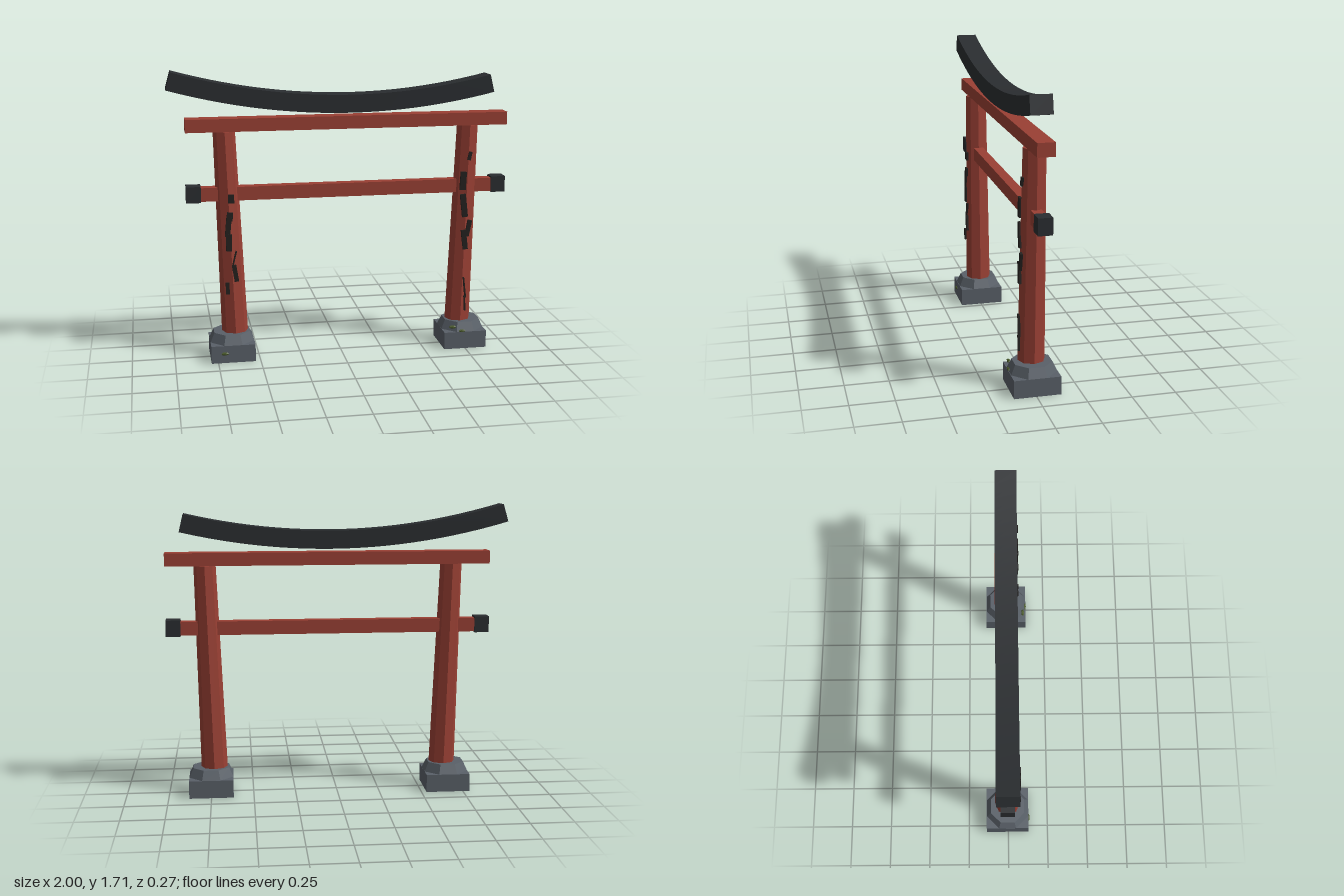
import * as THREE from 'three';
import { toCreasedNormals } from 'three/addons/utils/BufferGeometryUtils.js';

const paint = (color, flatShading = false) => new THREE.MeshStandardMaterial({ color, flatShading });
const red = paint(0x9a4034, true);
const black = paint(0x2a2d30);
const stone = paint(0x596068, true);
const char = paint(0x24211f);
const moss = paint(0x4a5a2a, true);
const Z = -0.005; // depth centre of the frame

function add(parent, name, geometry, material, x = 0, y = 0, z = 0) {
  const mesh = new THREE.Mesh(geometry, material);
  mesh.name = name;
  mesh.position.set(x, y, z);
  parent.add(mesh);
  return mesh;
}

// Box given by its x and y extents
function bar(parent, name, x0, x1, y0, y1, depth, material) {
  return add(parent, name, new THREE.BoxGeometry(x1 - x0, y1 - y0, depth), material,
    (x0 + x1) / 2, (y0 + y1) / 2, Z);
}

// Upward-curving top beam: a band offset from a curve, extruded in depth
function roofGeometry(depth, height) {
  const curve = new THREE.QuadraticBezierCurve(
    new THREE.Vector2(-0.987, 1.656), new THREE.Vector2(-0.046, 1.385), new THREE.Vector2(0.895, 1.607));
  const upper = [], lower = [];
  for (let i = 0; i <= 24; i++) {
    const p = curve.getPoint(i / 24), t = curve.getTangent(i / 24);
    const n = new THREE.Vector2(-t.y, t.x).multiplyScalar(height / 2);
    upper.push(p.clone().add(n));
    lower.push(p.clone().sub(n));
  }
  const shape = new THREE.Shape([...lower, ...upper.reverse()]);
  const g = new THREE.ExtrudeGeometry(shape, { depth, bevelEnabled: false });
  g.translate(0, 0, Z - depth / 2);
  return toCreasedNormals(g, 0.5);
}

// Tapered eight-sided post, sheared so that its top leans outward
function postGeometry(lean) {
  const h = 1.34;
  const g = new THREE.CylinderGeometry(0.064, 0.079, h, 8);
  g.translate(0, h / 2, 0);
  const p = g.attributes.position;
  for (let i = 0; i < p.count; i++) p.setX(i, p.getX(i) + lean * p.getY(i) / h);
  g.computeVertexNormals();
  return g;
}

// Square block with an eight-sided chamfered collar
function footing(parent, name, x) {
  const group = new THREE.Group();
  group.name = name;
  group.position.set(x, 0, Z);
  parent.add(group);
  add(group, 'block', new THREE.BoxGeometry(0.26, 0.105, 0.264), stone, 0, 0.0525);
  const flat = Math.cos(Math.PI / 8);
  const collar = new THREE.CylinderGeometry(0.105 / flat, 0.13 / flat, 0.056, 8);
  add(group, 'collar', collar.rotateY(Math.PI / 8), stone, 0, 0.132);
}

export function createModel() {
  const model = new THREE.Group();
  model.name = 'gate';

  // Beams
  add(model, 'roofBeam', roofGeometry(0.122, 0.104), black);
  bar(model, 'lintel', -0.9, 0.995, 1.36, 1.435, 0.096, red);
  bar(model, 'tieBeam', -0.86, 0.95, 0.955, 1.035, 0.06, red);
  bar(model, 'rightBeamCap', -0.905, -0.82, 0.95, 1.045, 0.08, black);
  bar(model, 'leftBeamCap', 0.912, 0.997, 0.95, 1.045, 0.08, black);

  // Posts and footings
  add(model, 'rightPost', postGeometry(-0.043), red, -0.635, 0.02, Z);
  add(model, 'leftPost', postGeometry(0.04), red, 0.726, 0.02, Z);
  footing(model, 'rightFooting', -0.66);
  footing(model, 'leftFooting', 0.75);

  // Charred flakes and cracks on the post fronts: x, y, width, height, tilt
  const flakes = [
    [-0.65, 0.975, 0.035, 0.05, 0], [-0.66, 0.87, 0.035, 0.05, -0.1], [-0.67, 0.81, 0.03, 0.12, -0.1],
    [-0.668, 0.715, 0.034, 0.1, 0], [-0.635, 0.53, 0.026, 0.1, 0.15], [-0.682, 0.44, 0.022, 0.07, 0],
    [-0.638, 0.62, 0.008, 0.09, -0.25], [0.767, 1.18, 0.02, 0.05, -0.2], [0.73, 1.03, 0.036, 0.11, -0.05],
    [0.738, 0.88, 0.034, 0.14, 0.12], [0.767, 0.74, 0.026, 0.1, -0.2], [0.745, 0.67, 0.03, 0.12, 0.12],
    [0.752, 0.37, 0.008, 0.13, 0.12], [0.755, 0.27, 0.008, 0.09, 0.05],
  ];
  for (const [x, y, w, h, tilt] of flakes) {
    const radius = 0.079 - 0.015 * y / 1.36;
    const flake = add(model, 'flake', new THREE.BoxGeometry(w, h, 0.014), char, x, y, Z + radius);
    flake.rotation.z = tilt;
  }

  // Moss tufts on the footings: x, y, z, half width
  const tufts = [[-0.71, 0.057, 0.127, 0.026], [0.675, 0.133, 0.108, 0.026], [0.73, 0.11, 0.122, 0.024]];
  for (const [x, y, z, r] of tufts) {
    add(model, 'moss', new THREE.IcosahedronGeometry(r, 0).scale(1, 0.4, 0.4), moss, x, y, z);
  }
  return model;
}
